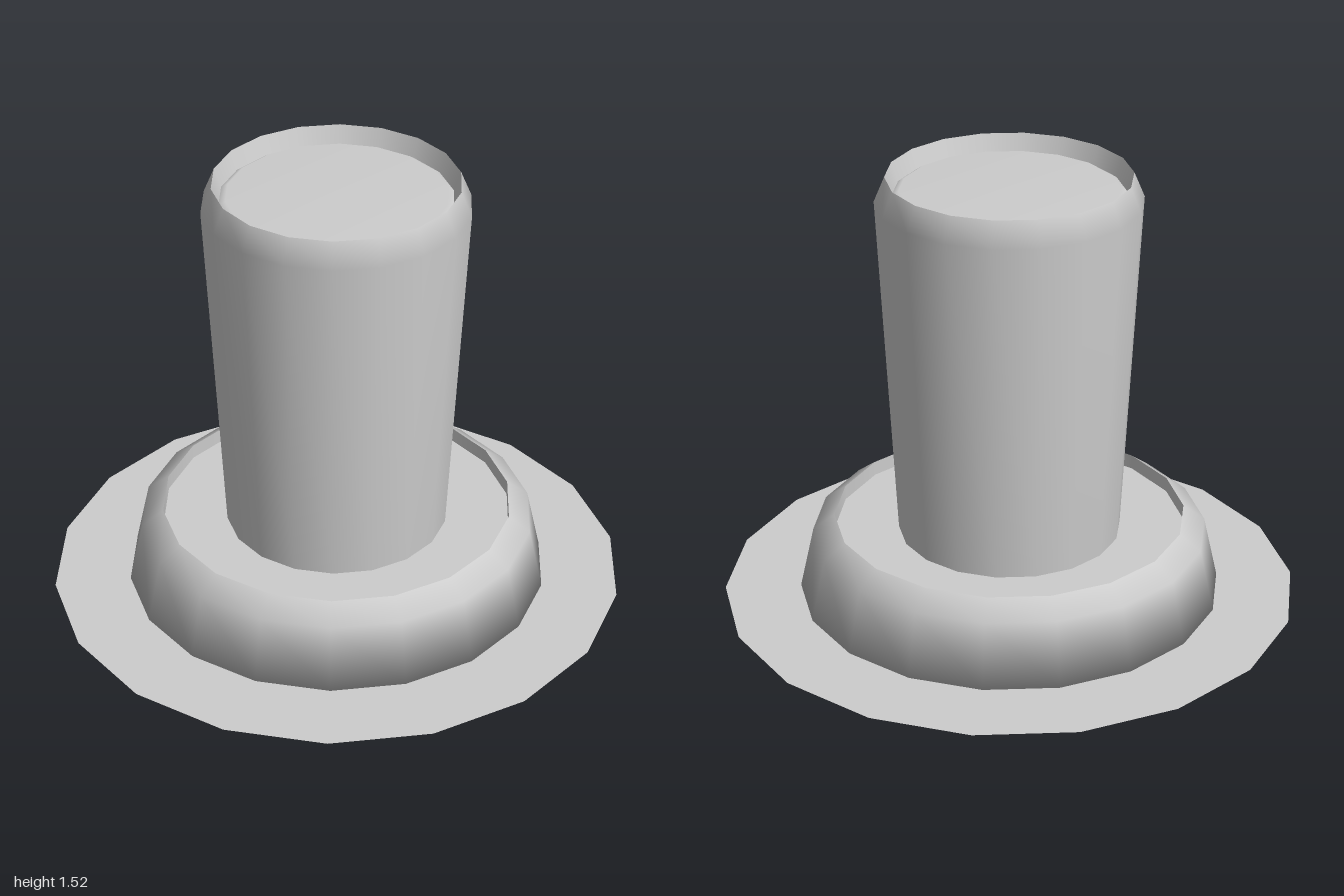
import * as THREE from 'three';

const SIDES = 18;

export function createModel() {
  const group = new THREE.Group();
  const grey = new THREE.MeshStandardMaterial({ color: 0xcccccc, side: THREE.DoubleSide });
  grey.name = 'plainGrey';

  // Smooth surface of revolution from [radius, height] pairs; separate calls leave a crease
  const turn = (name, profile) => {
    const points = profile.map(([r, y]) => new THREE.Vector2(r, y));
    const mesh = new THREE.Mesh(new THREE.LatheGeometry(points, SIDES), grey);
    mesh.name = name;
    group.add(mesh);
  };

  // Thin flat brim with an open centre
  turn('brim', [[0.66, 0], [1, 0]]);

  // Low wide base, its bevelled lip and sunken top
  turn('base', [[0, 0.003], [0.735, 0.003], [0.685, 0.225], [0.61, 0.28]]);
  turn('baseInnerWall', [[0.61, 0.28], [0.61, 0.228]]);
  turn('baseFloor', [[0.61, 0.228], [0.37, 0.228]]);

  // Column flaring upwards to a bevelled rim
  turn('column', [[0.386, 0.22], [0.447, 1.44], [0.411, 1.525]]);
  turn('rimInnerWall', [[0.411, 1.525], [0.388, 1.46]]);
  turn('columnTop', [[0.388, 1.46], [0.365, 1.475], [0, 1.475]]);

  return group;
}
